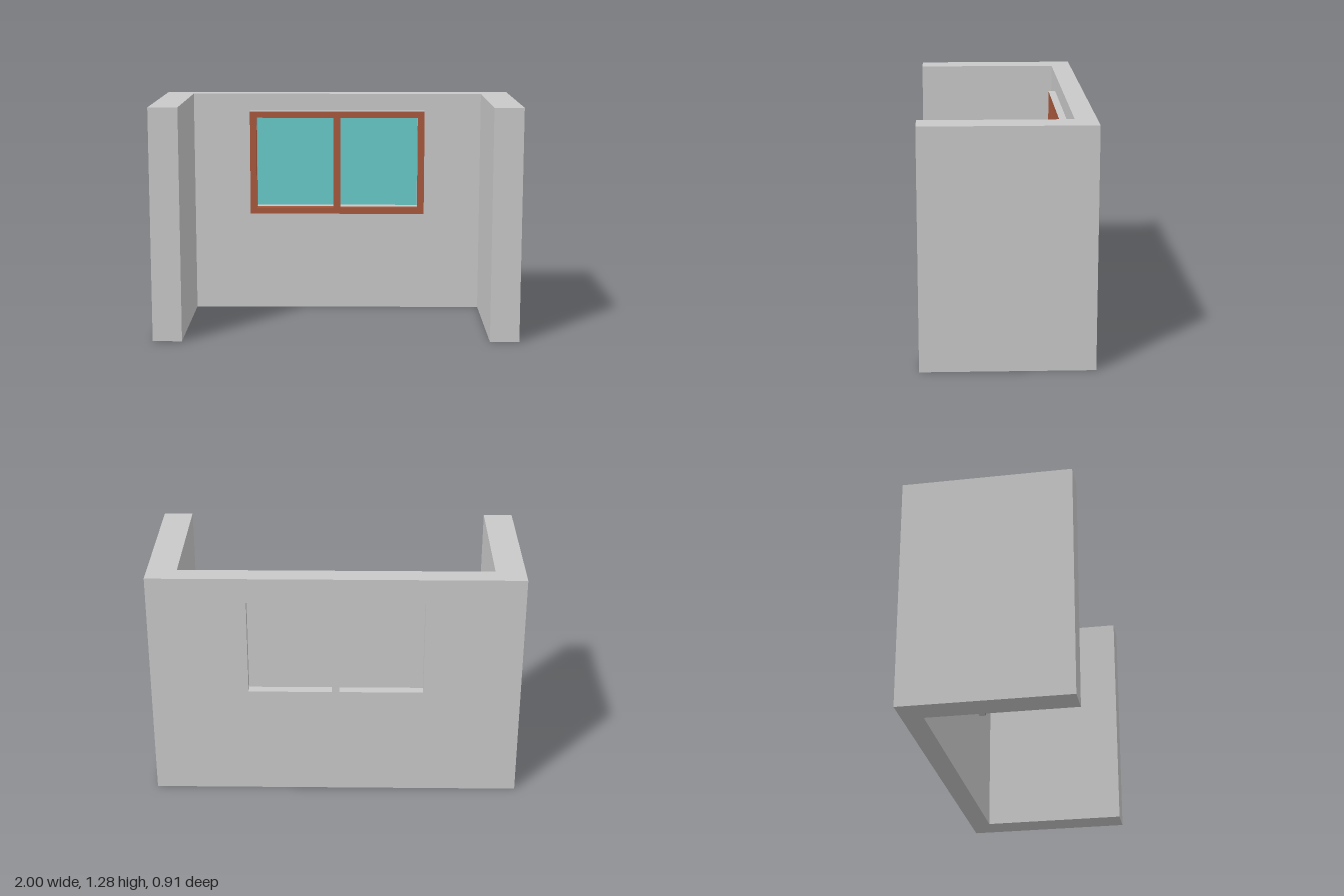
import * as THREE from 'three';

const HEIGHT = 1.28, DEPTH = 0.454, SIDE = 0.16;
const WALL_FRONT = -0.34, FRAME_FRONT = -0.3, GLASS_Z = -0.396;

// Pane openings: [left, bottom, right, top]
const PANES = [[-0.473, 0.612, -0.02, 1.143], [0.02, 0.612, 0.473, 1.143]];

const corners = ([x0, y0, x1, y1]) => [
  new THREE.Vector2(x0, y0), new THREE.Vector2(x1, y0),
  new THREE.Vector2(x1, y1), new THREE.Vector2(x0, y1),
];

// Slab between two depths with both pane openings cut through
function piercedSlab(rect, zBack, zFront) {
  const shape = new THREE.Shape(corners(rect));
  for (const pane of PANES) shape.holes.push(new THREE.Path(corners(pane).reverse()));
  const geometry = new THREE.ExtrudeGeometry(shape, { depth: zFront - zBack, bevelEnabled: false });
  return geometry.translate(0, 0, zBack);
}

export function createModel() {
  const model = new THREE.Group();
  model.name = 'wallWithWindow';

  const material = (name, color) => {
    const m = new THREE.MeshStandardMaterial({ color });
    m.name = name;
    return m;
  };
  const plaster = material('plaster grey', 0xc8c8c8);
  const wood = material('wood brown', 0xa8583c);
  const glass = material('glass teal', 0x68caca);

  const add = (name, geometry, mat) => {
    const mesh = new THREE.Mesh(geometry, mat);
    mesh.name = name;
    model.add(mesh);
    return mesh;
  };

  // Back wall between the two side walls
  const inner = 1 - SIDE;
  add('backWall', piercedSlab([-inner, 0, inner, HEIGHT], -DEPTH, WALL_FRONT), plaster);

  // Side walls
  for (const [name, s] of [['leftWall', 1], ['rightWall', -1]]) {
    add(name, new THREE.BoxGeometry(SIDE, HEIGHT, DEPTH * 2), plaster)
      .position.set(s * (1 - SIDE / 2), HEIGHT / 2, 0);
  }

  // Window frame: brown front and reveals, grey outer rim
  const frame = piercedSlab([-0.511, 0.574, 0.511, 1.181], WALL_FRONT, FRAME_FRONT);
  const sides = frame.groups[1].start;
  const rim = 4 * 6; // four outer quads come first among the sides
  frame.clearGroups();
  frame.addGroup(0, sides, 0);
  frame.addGroup(sides, rim, 1);
  frame.addGroup(sides + rim, frame.attributes.position.count - sides - rim, 0);
  add('windowFrame', frame, [wood, plaster]);

  // Panes: teal inside, grey outside
  PANES.forEach(([x0, y0, x1, y1], i) => {
    const side = i ? 'left' : 'right';
    const plane = new THREE.PlaneGeometry(x1 - x0, y1 - y0);
    const cx = (x0 + x1) / 2, cy = (y0 + y1) / 2;
    add(side + 'PaneFront', plane, glass).position.set(cx, cy, GLASS_Z);
    const back = add(side + 'PaneBack', plane, plaster);
    back.position.set(cx, cy, GLASS_Z - 0.004);
    back.rotation.y = Math.PI;
  });

  return model;
}
